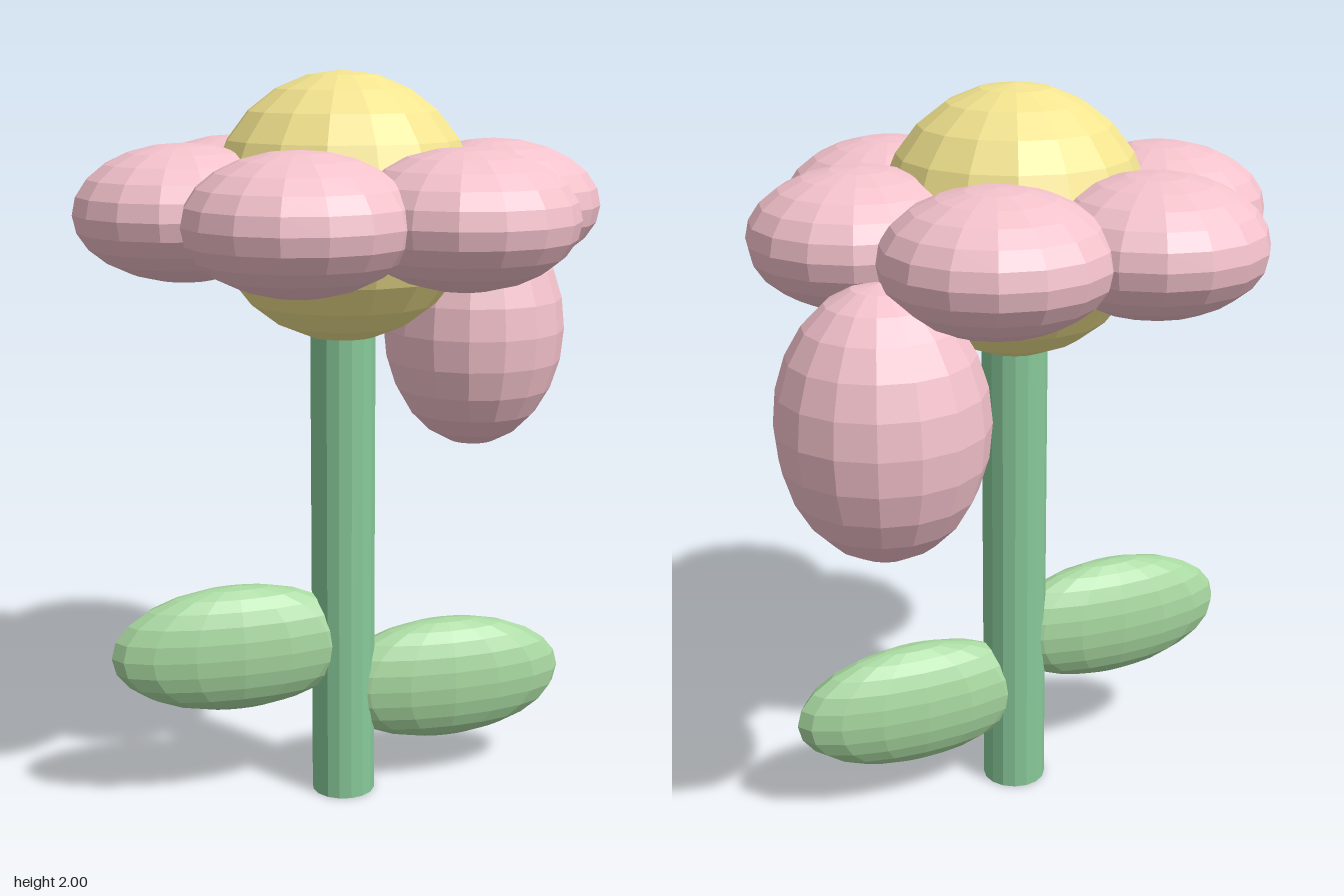
import * as THREE from 'three';

const mat = (color) => new THREE.MeshStandardMaterial({ color, flatShading: true });

export function createModel() {
  const flower = new THREE.Group();
  flower.name = 'flower';

  const pink = mat(0xf4c2cc);
  const yellow = mat(0xf3e48f);
  const stemGreen = mat(0x88c999);
  const leafGreen = mat(0xa8d8a0);
  const ball = new THREE.SphereGeometry(1, 16, 12);
  const axisX = -0.017; // the fallen petal shifts the stem off centre

  // Every soft part is a faceted sphere stretched to its radii
  const blob = (name, material, pos, radii) => {
    const mesh = new THREE.Mesh(ball, material);
    mesh.name = name;
    mesh.position.set(...pos);
    mesh.scale.set(...radii);
    flower.add(mesh);
  };

  // Stem, running up into the flower centre
  const stemHeight = 1.4;
  const stem = new THREE.Mesh(new THREE.CylinderGeometry(0.088, 0.088, stemHeight, 16), stemGreen);
  stem.name = 'stem';
  stem.position.set(axisX, stemHeight / 2, 0);
  flower.add(stem);

  // Flower centre
  blob('flowerCentre', yellow, [axisX, 1.648, 0], [0.352, 0.352, 0.352]);

  // Ring of six petals
  for (let i = 0; i < 6; i++) {
    const a = (i * Math.PI) / 3;
    blob(`petal${i + 1}`, pink,
      [axisX + 0.42 * Math.cos(a), 1.645, 0.42 * Math.sin(a)],
      [0.287, 0.176, 0.287]);
  }

  // Drooping petal at the back left
  blob('droopingPetal', pink, [0.463, 1.259, -0.298], [0.264, 0.348, 0.266]);

  // Leaves at two heights
  blob('leftLeaf', leafGreen, [axisX + 0.302, 0.302, 0], [0.346, 0.177, 0.104]);
  blob('rightLeaf', leafGreen, [axisX - 0.302, 0.452, 0], [0.346, 0.177, 0.104]);

  return flower;
}
